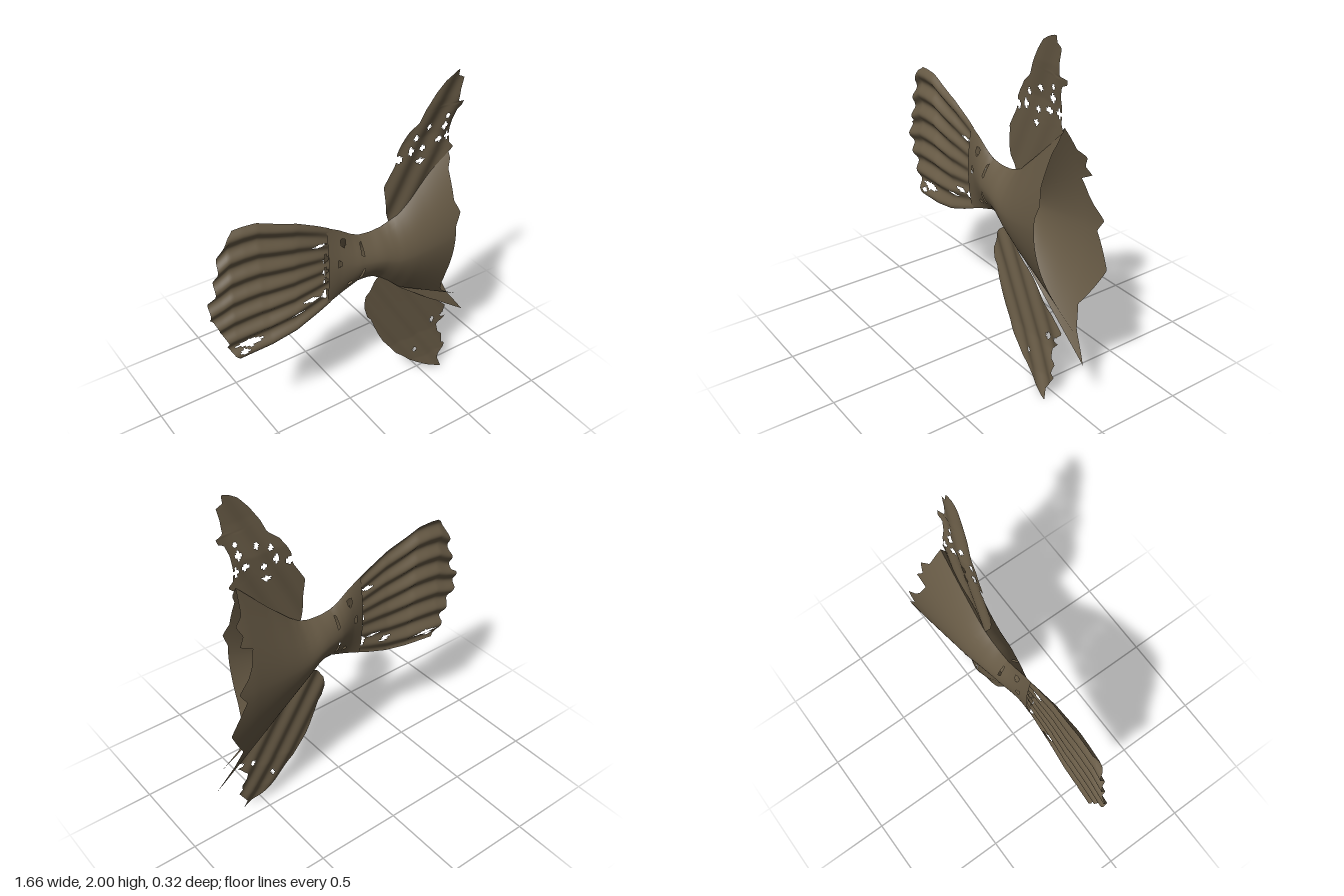
import * as THREE from 'three';

// Piecewise-linear lookup in a list of [key, value] pairs sorted by key
function look(table, k) {
  if (k <= table[0][0]) return table[0][1];
  for (let i = 1; i < table.length; i++) {
    const [k0, v0] = table[i - 1], [k1, v1] = table[i];
    if (k <= k1) return v0 + (v1 - v0) * (k - k0) / (k1 - k0);
  }
  return table[table.length - 1][1];
}

// Surface grid: point(u, v) -> [x, y, z]; cells whose centre falls in a hole are left out
function sheet(name, material, nu, nv, point, holes = []) {
  const pos = [], index = [];
  for (let i = 0; i <= nu; i++)
    for (let j = 0; j <= nv; j++) pos.push(...point(i / nu, j / nv));
  for (let i = 0; i < nu; i++)
    for (let j = 0; j < nv; j++) {
      const [cx, cy] = point((i + 0.5) / nu, (j + 0.5) / nv);
      if (holes.some(([x, y, rx, ry]) => Math.abs(cx - x) / rx + Math.abs(cy - y) / ry < 1)) continue;
      const a = i * (nv + 1) + j, b = a + nv + 1;
      index.push(a, b, a + 1, b, b + 1, a + 1);
    }
  const g = new THREE.BufferGeometry();
  g.setAttribute('position', new THREE.Float32BufferAttribute(pos, 3));
  g.setIndex(index);
  g.computeVertexNormals();
  const mesh = new THREE.Mesh(g, material);
  mesh.name = name;
  return mesh;
}

// Sheet bounded by top and bottom curves, running from x0 out to a ragged rim of [y, x] points
function rimSheet(name, mat, nu, nv, x0, rim, top, bot, depth, holes) {
  const edge = rim.map(([y, x]) => [(y - look(bot, x)) / (look(top, x) - look(bot, x)), x]);
  return sheet(name, mat, nu, nv, (u, v) => {
    const x = x0 + (look(edge, v) - x0) * u;
    const b = look(bot, x), t = look(top, x);
    return [x, b + (t - b) * v, depth(x, v)];
  }, holes);
}

// Fin bounded left and right by [y, x] curves
function fin(name, mat, left, right, depth, holes) {
  const y0 = left[0][0], y1 = left[left.length - 1][0];
  return sheet(name, mat, 90, 30, (u, v) => {
    const y = y0 + (y1 - y0) * u, a = look(left, y), b = look(right, y);
    const x = a + (b - a) * v;
    return [x, y, depth(x, y)];
  }, holes);
}

export function createModel() {
  const group = new THREE.Group();
  group.name = 'fishTail';
  const skin = new THREE.MeshStandardMaterial({ color: 0x675a45, side: THREE.DoubleSide });
  skin.name = 'olive brown skin';

  // Body outline and half thickness along x
  const top = [[-0.16, 1.3], [-0.07, 1.25], [0, 1.2], [0.05, 1.175], [0.12, 1.165], [0.2, 1.17], [0.26, 1.19],
    [0.32, 1.235], [0.45, 1.36], [0.62, 1.54], [0.83, 1.72]];
  const backBottom = [[-0.16, 0.79], [-0.05, 0.835], [0.05, 0.87], [0.13, 0.865], [0.18, 0.84], [0.25, 0.77],
    [0.35, 0.68], [0.5, 0.56], [0.83, 0.31]];
  const frontBottom = [[-0.16, 0.79], [-0.05, 0.835], [0.05, 0.87], [0.13, 0.865], [0.18, 0.84], [0.25, 0.77],
    [0.35, 0.69], [0.6, 0.55], [0.78, 0.45]];
  const width = [[-0.16, 0.022], [-0.08, 0.04], [0.02, 0.07], [0.15, 0.095], [0.4, 0.127], [0.64, 0.16], [0.8, 0.175]];
  const bulge = (side) => (x, v) => side * look(width, x) * (1 - Math.pow(Math.abs(2 * v - 1), 1.8));

  // Torn edges of the two body halves
  const frontRim = [[0.45, 0.78], [0.47, 0.73], [0.53, 0.66], [0.57, 0.63], [0.64, 0.61], [0.75, 0.6], [1.1, 0.6],
    [1.18, 0.63], [1.25, 0.6], [1.42, 0.6], [1.47, 0.62], [1.54, 0.62]];
  const backRim = [[0.31, 0.83], [0.46, 0.73], [0.58, 0.69], [0.8, 0.8], [0.98, 0.7], [1.05, 0.745], [1.11, 0.68],
    [1.16, 0.65], [1.25, 0.62], [1.28, 0.7], [1.33, 0.66], [1.39, 0.69], [1.42, 0.64], [1.54, 0.62]];
  group.add(rimSheet('bodyFrontSide', skin, 30, 110, 0.05, frontRim, top, frontBottom, bulge(1)));
  group.add(rimSheet('bodyBackSide', skin, 30, 110, 0.05, backRim, top, backBottom, bulge(-1)));

  // Narrow tail root, with a slit between it and the body
  const rootRim = [[0.87, 0.06], [0.9, 0.055], [0.92, 0.035], [0.99, 0.04], [1.0, 0.055], [1.07, 0.055],
    [1.08, 0.035], [1.14, 0.04], [1.15, 0.055], [1.17, 0.06]];
  const rootHoles = [[-0.06, 1.18, 0.02, 0.03], [-0.09, 1.06, 0.012, 0.03], [-0.02, 0.9, 0.02, 0.015]];
  for (const side of [1, -1])
    group.add(rimSheet(side > 0 ? 'tailRootFront' : 'tailRootBack', skin, 20, 50, -0.15, rootRim, top, backBottom,
      bulge(side), rootHoles));

  // Fanned tail fin with rippled rays
  const tailTop = [[-0.83, 1.38], [-0.76, 1.42], [-0.7, 1.465], [-0.62, 1.47], [-0.54, 1.465], [-0.45, 1.43],
    [-0.32, 1.385], [-0.2, 1.325], [-0.13, 1.285]];
  const tailBottom = [[-0.83, 0.66], [-0.68, 0.665], [-0.5, 0.68], [-0.35, 0.71], [-0.22, 0.76], [-0.13, 0.8]];
  const tailRim = [[0.665, -0.69], [0.69, -0.715], [0.76, -0.75], [0.79, -0.745], [0.85, -0.77], [0.88, -0.785],
    [0.95, -0.81], [0.97, -0.83], [1.08, -0.83], [1.1, -0.795], [1.2, -0.79], [1.23, -0.775], [1.33, -0.76],
    [1.37, -0.745], [1.43, -0.71], [1.465, -0.67]];
  const tailMid = [[-0.83, -0.028], [-0.55, -0.012], [-0.35, 0], [-0.13, 0]];
  const ripple = [[-0.8, 0.014], [-0.5, 0.017], [-0.3, 0.01], [-0.13, 0.004]];
  const tailHoles = [[-0.155, 1.1, 0.015, 0.04], [-0.16, 1.02, 0.02, 0.03], [-0.16, 0.87, 0.03, 0.035],
    [-0.16, 0.96, 0.02, 0.02], [-0.25, 0.87, 0.06, 0.012], [-0.2, 1.2, 0.05, 0.012], [-0.62, 0.735, 0.09, 0.02],
    [-0.66, 0.7, 0.03, 0.015], [-0.33, 0.81, 0.05, 0.01]];
  group.add(rimSheet('tailFin', skin, 60, 110, -0.13, tailRim, tailTop, tailBottom,
    (x, v) => look(tailMid, x) + look(ripple, x) * Math.sin(v * Math.PI * 13 + 0.6), tailHoles));

  // Upper fin
  const upperLeft = [[1.18, 0.25], [1.26, 0.22], [1.42, 0.205], [1.48, 0.24], [1.53, 0.27], [1.6, 0.28],
    [1.64, 0.3], [1.7, 0.34], [1.75, 0.4], [1.82, 0.43], [1.9, 0.48], [1.96, 0.53], [1.99, 0.58], [2, 0.61]];
  const upperRight = [[1.18, 0.27], [1.3, 0.4], [1.4, 0.5], [1.5, 0.61], [1.53, 0.645], [1.56, 0.62], [1.62, 0.615],
    [1.7, 0.62], [1.76, 0.64], [1.77, 0.67], [1.8, 0.68], [1.81, 0.635], [1.88, 0.64], [1.95, 0.655],
    [1.96, 0.62], [2, 0.62]];
  const upperDepth = [[1.18, 0.005], [1.4, 0.015], [1.65, 0.025], [1.85, 0.055], [2, 0.07]];
  const upperHoles = [[0.29, 1.56, 0.02, 0.03], [0.36, 1.59, 0.02, 0.03], [0.44, 1.58, 0.025, 0.02],
    [0.54, 1.61, 0.03, 0.02], [0.57, 1.68, 0.02, 0.03], [0.39, 1.66, 0.02, 0.02], [0.47, 1.7, 0.02, 0.02],
    [0.6, 1.61, 0.015, 0.03], [0.43, 1.51, 0.025, 0.02], [0.58, 1.74, 0.015, 0.015]];
  group.add(fin('upperFin', skin, upperLeft, upperRight,
    (x, y) => look(upperDepth, y) + 0.006 * Math.sin((x - 0.5 * y) * 40), upperHoles));

  // Lower fin
  const lowerLeft = [[0, 0.62], [0.03, 0.57], [0.05, 0.52], [0.09, 0.46], [0.14, 0.4], [0.2, 0.345], [0.24, 0.3],
    [0.3, 0.26], [0.37, 0.21], [0.43, 0.18], [0.5, 0.15], [0.57, 0.125], [0.6, 0.1], [0.66, 0.085], [0.74, 0.1],
    [0.79, 0.13], [0.85, 0.2]];
  const lowerRight = [[0, 0.625], [0.06, 0.61], [0.15, 0.665], [0.17, 0.64], [0.22, 0.65], [0.25, 0.62], [0.3, 0.615],
    [0.36, 0.67], [0.39, 0.65], [0.42, 0.68], [0.5, 0.6], [0.6, 0.46], [0.7, 0.34], [0.8, 0.24], [0.85, 0.21]];
  const lowerDepth = [[0, 0.075], [0.12, 0.05], [0.3, 0.03], [0.6, 0.018], [0.85, 0.01]];
  const lowerHoles = [[0.65, 0.37, 0.03, 0.015], [0.58, 0.36, 0.02, 0.02], [0.44, 0.2, 0.012, 0.02]];
  group.add(fin('lowerFin', skin, lowerLeft, lowerRight,
    (x, y) => look(lowerDepth, y) + 0.007 * Math.sin((x + 0.6 * y) * 45), lowerHoles));

  return group;
}
